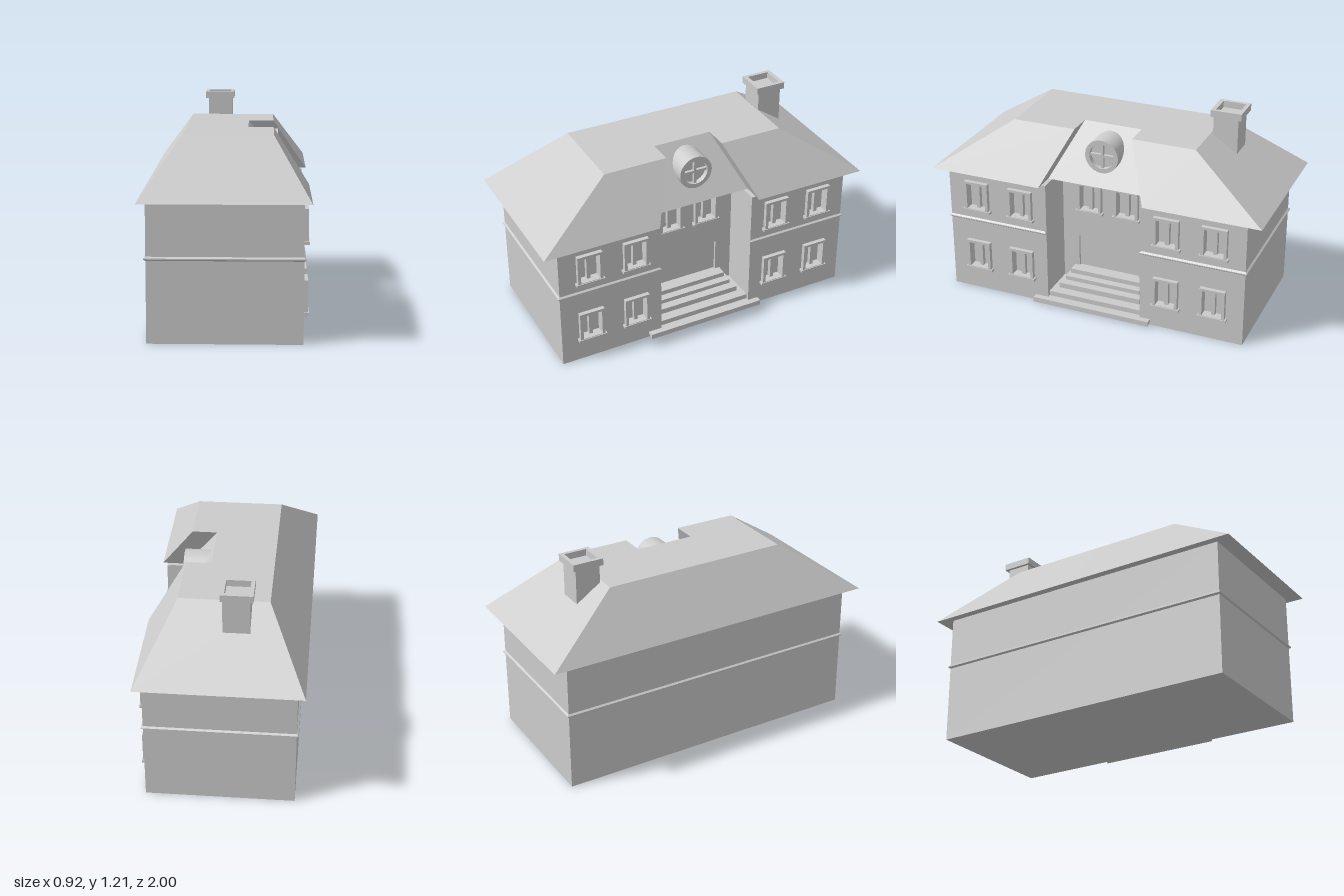
import * as THREE from 'three';

const EAVE = 0.765, TOP = 1.07, FACE = 0.415, RECESS = 0.18, HALF = 0.29, REVEAL = 0.03;
const UPPER = 0.52, LOWER = 0.135;

export function createModel() {
  const house = new THREE.Group();
  house.name = 'house';
  const mat = new THREE.MeshStandardMaterial({ color: 0xcccccc, flatShading: true });
  const smooth = new THREE.MeshStandardMaterial({ color: 0xcccccc });

  const add = (name, geo, parent = house, m = mat) => {
    const mesh = new THREE.Mesh(geo, m);
    mesh.name = name;
    parent.add(mesh);
    return mesh;
  };
  // box given by its limits on each axis
  const box = (name, x0, x1, y0, y1, z0, z1, parent = house) => {
    const mesh = add(name, new THREE.BoxGeometry(x1 - x0, y1 - y0, z1 - z0), parent);
    mesh.position.set((x0 + x1) / 2, (y0 + y1) / 2, (z0 + z1) / 2);
    return mesh;
  };
  const rect = (C, u0, u1, v0, v1) => {
    const c = new C();
    c.moveTo(u0, v0).lineTo(u1, v0).lineTo(u1, v1).lineTo(u0, v1).closePath();
    return c;
  };
  // slab facing +x with rectangular holes, all rectangles as [z0, z1, y0, y1]
  const panel = (name, face, depth, outer, holes, parent = house) => {
    const flip = ([z0, z1, y0, y1]) => [-z1, -z0, y0, y1];
    const s = rect(THREE.Shape, ...flip(outer));
    holes.forEach(h => s.holes.push(rect(THREE.Path, ...flip(h))));
    const geo = new THREE.ExtrudeGeometry(s, { depth, bevelEnabled: false });
    geo.rotateY(Math.PI / 2).translate(face - depth, 0, 0);
    return add(name, geo, parent);
  };

  // windows: raised frame, sill and centre mullion over a hole in the wall
  const opening = (z, y) => [z - 0.058, z + 0.058, y + 0.018, y + 0.175];
  const addWindow = (face, z, y) => {
    const g = new THREE.Group();
    g.name = 'window';
    house.add(g);
    panel('windowFrame', face + 0.025, 0.025, [z - 0.075, z + 0.075, y + 0.01, y + 0.19], [opening(z, y)], g);
    box('windowSill', face, face + 0.03, y, y + 0.015, z - 0.085, z + 0.085, g);
    box('windowMullion', face - REVEAL, face - 0.005, y + 0.018, y + 0.175, z - 0.011, z + 0.011, g);
  };

  // body: rear block, two wings and the recessed entrance bay
  box('mainBlock', -0.417, RECESS - REVEAL, 0, EAVE, -0.91, 0.91);
  for (const s of [-1, 1]) {
    const z0 = s > 0 ? HALF : -0.91, z1 = s > 0 ? 0.91 : -HALF;
    box('wing', RECESS - REVEAL, FACE - REVEAL, 0, EAVE, z0, z1);
    const spots = [[0.73, UPPER], [0.45, UPPER], [0.73, LOWER], [0.45, LOWER]];
    panel('wingFront', FACE, REVEAL, [z0, z1, 0, EAVE], spots.map(([z, y]) => opening(s * z, y)));
    spots.forEach(([z, y]) => addWindow(FACE, s * z, y));
  }
  const bay = [0.115, -0.115];
  panel('entranceWall', RECESS, REVEAL, [-HALF, HALF, 0, EAVE],
    [...bay.map(z => opening(z, UPPER)), [-0.19, 0.19, 0.15, 0.35]]);
  bay.forEach(z => addWindow(RECESS, z, UPPER));
  box('door', RECESS - REVEAL, RECESS - 0.015, 0.15, 0.35, -0.19, 0.19);

  // belt course around the body, open at the entrance bay
  const plan = new THREE.Shape([
    [-0.417, -0.91], [FACE, -0.91], [FACE, -HALF - 0.01], [RECESS - 0.02, -HALF - 0.01],
    [RECESS - 0.02, HALF + 0.01], [FACE, HALF + 0.01], [FACE, 0.91], [-0.417, 0.91],
  ].map(p => new THREE.Vector2(...p)));
  const belt = new THREE.ExtrudeGeometry(plan, {
    depth: 0.006, bevelThickness: 0.008, bevelSize: 0.01, bevelSegments: 1,
  });
  belt.rotateX(-Math.PI / 2).translate(0, 0.457, 0);
  add('beltCourse', belt);

  // entrance steps
  [[FACE, 0.035, HALF], [0.395, 0.065, HALF], [0.335, 0.097, 0.255], [0.285, 0.122, 0.235], [0.24, 0.15, 0.22]]
    .forEach(([x, y, z]) => box('step', RECESS, x, 0, y, -z, z));
  const lip = new THREE.Shape([[FACE, 0.02], [0.45, 0.004], [0.45, 0.035], [FACE, 0.035]]
    .map(p => new THREE.Vector2(...p)));
  add('bottomStepLip', new THREE.ExtrudeGeometry(lip, { depth: 0.725, bevelEnabled: false }).translate(0, 0, -0.355));

  // hipped roof: faces of the +z half, mirrored for the other half
  const E = EAVE, T = TOP;
  const faces = [
    [[0.455, E, 1], [0.455, E, 0.315], [0.255, T, 0.175], [0.255, T, 0.55]],
    [[0.455, E, 0.315], [0.32, E, 0.315], [0.11, T, 0.175], [0.255, T, 0.175]],
    [[0.32, E, 0.315], [0.32, E, 0], [0.11, T, 0], [0.11, T, 0.175]],
    [[-0.46, E, 1], [0.455, E, 1], [0.255, T, 0.55], [-0.245, T, 0.55]],
    [[-0.46, E, 0], [-0.46, E, 1], [-0.245, T, 0.55], [-0.245, T, 0]],
    [[-0.245, T, 0.55], [0.11, T, 0.55], [0.11, T, 0], [-0.245, T, 0]],
    [[0.11, T, 0.55], [0.255, T, 0.55], [0.255, T, 0.175], [0.11, T, 0.175]],
    [[-0.46, E, 0], [0.32, E, 0], [0.32, E, 1], [-0.46, E, 1]],
    [[0.32, E, 0.315], [0.455, E, 0.315], [0.455, E, 1], [0.32, E, 1]],
  ];
  const pos = [];
  const quad = ([a, b, c, d]) => pos.push(...a, ...b, ...c, ...a, ...c, ...d);
  for (const f of faces) {
    quad(f);
    quad(f.map(([x, y, z]) => [x, y, -z]).reverse());
  }
  const roof = new THREE.BufferGeometry();
  roof.setAttribute('position', new THREE.Float32BufferAttribute(pos, 3));
  roof.computeVertexNormals();
  add('roof', roof);

  // round dormer window: lathed tube with a set-back pane and cross bars
  const dormer = new THREE.Group();
  dormer.name = 'roundWindow';
  dormer.position.set(0, 0.94, 0);
  house.add(dormer);
  const tube = (name, r0, r1, x0, x1) => {
    const geo = r0 > 0
      ? new THREE.ExtrudeGeometry((() => {
        const s = new THREE.Shape().absarc(0, 0, r1, 0, Math.PI * 2);
        s.holes.push(new THREE.Path().absarc(0, 0, r0, 0, Math.PI * 2, true));
        return s;
      })(), { depth: x1 - x0, bevelEnabled: false, curveSegments: 32 })
      : new THREE.CylinderGeometry(r1, r1, x1 - x0, 32).rotateX(Math.PI / 2).translate(0, 0, (x1 - x0) / 2);
    add(name, geo.rotateY(Math.PI / 2).translate(x0, 0, 0), dormer, r0 > 0 ? mat : smooth);
  };
  tube('roundFrame', 0.074, 0.1, 0.11, 0.28);
  tube('roundPane', 0, 0.08, 0.12, 0.25);
  box('verticalBar', 0.24, 0.27, -0.076, 0.076, -0.007, 0.007, dormer);
  box('horizontalBar', 0.24, 0.268, -0.007, 0.007, -0.076, 0.076, dormer);

  // chimney with a hollow cap
  box('chimneyStack', -0.148, 0, 0.9, 1.172, -0.705, -0.56);
  const cap = rect(THREE.Shape, -0.165, 0.012, 0.545, 0.725);
  cap.holes.push(rect(THREE.Path, -0.143, -0.01, 0.57, 0.702));
  const capGeo = new THREE.ExtrudeGeometry(cap, { depth: 0.04, bevelEnabled: false });
  add('chimneyCap', capGeo.rotateX(-Math.PI / 2).translate(0, 1.17, 0));

  return house;
}
